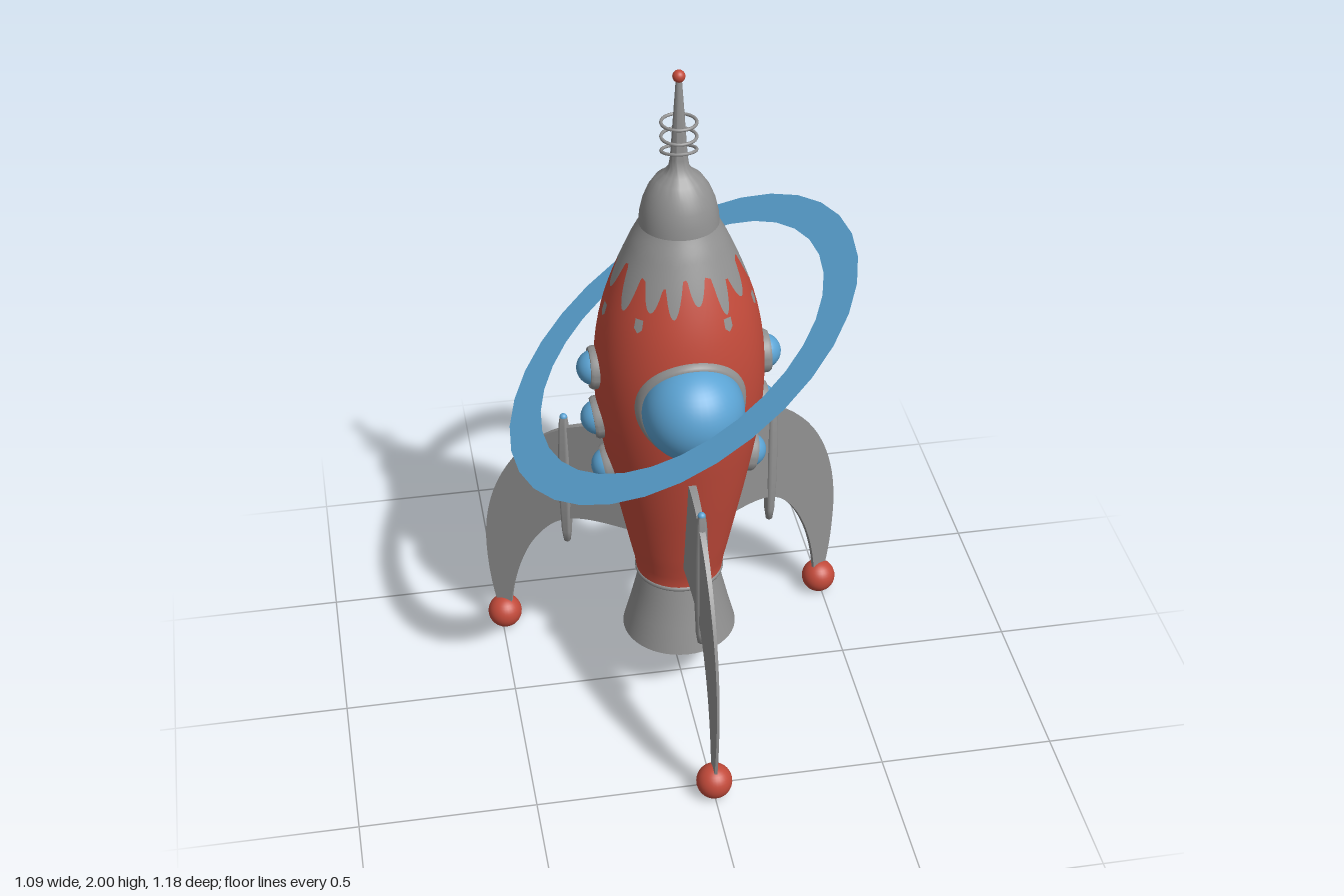
import * as THREE from 'three';
import { toCreasedNormals } from 'three/addons/utils/BufferGeometryUtils.js';

const red = new THREE.MeshStandardMaterial({ name: 'red paint', color: 0xc24a3a });
const grey = new THREE.MeshStandardMaterial({ name: 'grey metal', color: 0x919191 });
const blue = new THREE.MeshStandardMaterial({ name: 'blue glass', color: 0x5ba3d3 });
const blueBand = new THREE.MeshStandardMaterial({ name: 'blue ring', color: 0x5ba3d3, side: THREE.DoubleSide });

const AXIS_Z = -0.025;
const deg = THREE.MathUtils.degToRad;

// Hull radius sampled every 0.1 of height from y = 0.4
const HULL = [0.125, 0.145, 0.166, 0.187, 0.206, 0.223, 0.234, 0.237, 0.23, 0.211, 0.178, 0.136, 0.09];
function hullRadius(y) {
  const t = THREE.MathUtils.clamp((y - 0.4) / 0.1, 0, HULL.length - 1.001);
  const i = Math.floor(t), f = t - i;
  const p = k => HULL[THREE.MathUtils.clamp(k, 0, HULL.length - 1)];
  const a = p(i - 1), b = p(i), c = p(i + 1), d = p(i + 2);
  return b + 0.5 * f * (c - a + f * (2 * a - 5 * b + 4 * c - d + f * (3 * (b - c) + d - a)));
}
const hullSlope = y => (hullRadius(y + 0.005) - hullRadius(y - 0.005)) / 0.01;

// Patch of the hull between two angles and two height functions
function hullPatch(a0, a1, low, high, nu, nv, lift = 0) {
  const pos = [], nor = [], idx = [];
  for (let j = 0; j <= nv; j++) {
    for (let i = 0; i <= nu; i++) {
      const a = a0 + (a1 - a0) * i / nu;
      const y = THREE.MathUtils.lerp(low(a), high(a), j / nv);
      const r = hullRadius(y) + lift;
      pos.push(r * Math.sin(a), y, r * Math.cos(a));
      const n = new THREE.Vector3(Math.sin(a), -hullSlope(y), Math.cos(a)).normalize();
      nor.push(n.x, n.y, n.z);
      if (i < nu && j < nv) {
        const k = j * (nu + 1) + i, m = k + nu + 1;
        idx.push(k, k + 1, m + 1, k, m + 1, m);
      }
    }
  }
  const g = new THREE.BufferGeometry();
  g.setAttribute('position', new THREE.Float32BufferAttribute(pos, 3));
  g.setAttribute('normal', new THREE.Float32BufferAttribute(nor, 3));
  g.setIndex(idx);
  return g;
}

// Ragged lower edge of the bare nose: drips as [angle, half width, lowest y]
const DRIPS = [
  [-14, 8, 1.36], [7, 9, 1.39], [31, 8, 1.35], [53, 11, 1.37], [88, 15, 1.36], [114, 6, 1.4],
  [136, 11, 1.34], [160, 7, 1.39], [180, 10, 1.36], [205, 7, 1.39], [226, 11, 1.34],
  [250, 6, 1.4], [270, 13, 1.37], [300, 11, 1.35], [326, 9, 1.37],
];
function paintEdge(a) {
  let y = 1.45 + 0.015 * Math.sin(5 * a + 1);
  for (const [c, w, low] of DRIPS) {
    const d = Math.abs(THREE.MathUtils.euclideanModulo(a * 180 / Math.PI - c + 180, 360) - 180) / w;
    if (d < 1) y = Math.min(y, low + (y - low) * d * d);
  }
  return y;
}

function add(parent, name, geometry, material, x = 0, y = 0, z = 0) {
  const m = new THREE.Mesh(geometry, material);
  m.name = name;
  m.position.set(x, y, z);
  parent.add(m);
  return m;
}
function lathe(points, crease = 0.6, segments = 48) {
  return toCreasedNormals(new THREE.LatheGeometry(points.map(p => new THREE.Vector2(...p)), segments), crease);
}
const ball = (r, w = 28, h = 18) => new THREE.SphereGeometry(r, w, h);

// Curved fin blade, thick at the root and thin at the outer edge
function finGeometry() {
  const s = new THREE.Shape();
  s.moveTo(0.12, 0.48);
  s.lineTo(0.13, 0.82);
  s.lineTo(0.22, 0.828);
  s.bezierCurveTo(0.42, 0.82, 0.62, 0.6, 0.617, 0.31);
  s.bezierCurveTo(0.615, 0.22, 0.605, 0.14, 0.585, 0.07);
  s.lineTo(0.545, 0.07);
  s.bezierCurveTo(0.535, 0.22, 0.48, 0.36, 0.4, 0.435);
  s.bezierCurveTo(0.34, 0.49, 0.27, 0.49, 0.12, 0.48);
  const g = new THREE.ExtrudeGeometry(s, { depth: 1, bevelEnabled: false, curveSegments: 20 });
  const p = g.attributes.position;
  for (let i = 0; i < p.count; i++) {
    p.setZ(i, (p.getZ(i) - 0.5) * (0.026 - 0.036 * (p.getX(i) - 0.1)));
  }
  return toCreasedNormals(g, 0.5);
}

function makeFin() {
  const fin = new THREE.Group();
  fin.name = 'fin';
  add(fin, 'finBlade', finGeometry(), grey);
  add(fin, 'finFoot', ball(0.051), red, 0.568, 0.053);
  // Slim pod through the blade with a glass tip
  add(fin, 'finPod', lathe([[0, 0.375], [0.01, 0.385], [0.015, 0.42], [0.019, 0.52], [0.02, 0.61],
    [0.019, 0.7], [0.015, 0.8], [0.011, 0.829]], 1.2, 16), grey, 0.353);
  add(fin, 'finPodTip', new THREE.SphereGeometry(0.0112, 16, 8, 0, Math.PI * 2, 0, Math.PI / 2), blue, 0.353, 0.829);
  return fin;
}

// Round side window whose axis follows the hull normal
function makePorthole() {
  const g = new THREE.Group();
  g.name = 'porthole';
  add(g, 'portholeFrame', lathe([[0.061, -0.03], [0.061, 0.008], [0.056, 0.016], [0.048, 0.016], [0.046, 0]]), grey);
  add(g, 'portholeGlass', ball(0.05), blue);
  return g;
}

export function createModel() {
  const model = new THREE.Group();
  model.name = 'rocket';
  const ship = new THREE.Group();
  ship.name = 'ship';
  ship.position.z = AXIS_Z;
  model.add(ship);

  // Hull: painted below the ragged edge, bare metal above, plus loose flakes
  add(ship, 'hullPaint', hullPatch(0, Math.PI * 2, () => 0.395, paintEdge, 240, 24), red);
  add(ship, 'hullBareTop', hullPatch(0, Math.PI * 2, paintEdge, () => 1.56, 240, 8), grey);
  for (const [a, y] of [[-42, 1.33], [30, 1.325], [72, 1.33], [110, 1.33], [160, 1.33], [212, 1.33], [275, 1.31]]) {
    const c = deg(a), w = deg(3.5);
    add(ship, 'paintFlake', hullPatch(c - w, c + w, t => y - 0.02 + 0.012 * Math.abs(t - c) / w,
      () => y + 0.018, 6, 3, 0.0015), grey);
  }

  // Nose dome flowing into the antenna
  add(ship, 'noseCone', lathe([[0.1, 1.555], [0.109, 1.555], [0.106, 1.585], [0.098, 1.62], [0.084, 1.655],
    [0.064, 1.685], [0.042, 1.702], [0.028, 1.72], [0.024, 1.745], [0.022, 1.77], [0.008, 1.975]], 0.9), grey);
  add(ship, 'antennaTip', ball(0.017), red, 0, 1.983);
  [1.768, 1.808, 1.85].forEach((y, i) => {
    const ring = add(ship, 'antennaRing', new THREE.TorusGeometry(0.047, 0.0045, 8, 32), grey, 0, y);
    ring.rotation.x = Math.PI / 2 - (i === 0 ? 0.22 : 0);
  });

  // Engine collar and hollow nozzle
  const collar = add(ship, 'engineCollar', new THREE.TorusGeometry(0.119, 0.01, 10, 48), grey, 0, 0.392);
  collar.rotation.x = Math.PI / 2;
  add(ship, 'nozzle', lathe([[0, 0.37], [0.1, 0.37], [0.15, 0.18], [0.166, 0.18], [0.145, 0.26],
    [0.128, 0.33], [0.118, 0.385]]), grey);

  // Fins: one at the front, two swept to the back
  for (const a of [0, 120, 240]) {
    const fin = makeFin();
    fin.rotation.y = deg(a - 90);
    ship.add(fin);
  }

  // Three portholes on each side
  for (const side of [-1, 1]) {
    for (const y of [1.11, 0.943, 0.776]) {
      const p = makePorthole();
      p.position.set(side * hullRadius(y), y, 0);
      p.rotation.z = -side * (Math.PI / 2 + Math.atan(hullSlope(y)));
      ship.add(p);
    }
  }

  // Large front window with a frame bent around the hull
  const wy = 1.088;
  const frame = new THREE.TorusGeometry(0.139, 0.015, 12, 56);
  const fp = frame.attributes.position;
  for (let i = 0; i < fp.count; i++) {
    const x = fp.getX(i);
    const r = hullRadius(wy + fp.getY(i));
    fp.setZ(i, fp.getZ(i) + Math.sqrt(Math.max(0, r * r - x * x)));
  }
  frame.computeVertexNormals();
  add(ship, 'frontWindowFrame', frame, grey, 0, wy);
  add(ship, 'frontWindowGlass', ball(0.14, 40, 28), blue, 0, wy, 0.22);

  // Tilted flat ring around the hull
  const orbit = new THREE.Group();
  orbit.name = 'orbitRing';
  orbit.position.y = 1.16;
  orbit.rotation.z = deg(32.5);
  add(orbit, 'orbitBand', new THREE.RingGeometry(0.459, 0.565, 32), blueBand).rotation.x = -Math.PI / 2;
  ship.add(orbit);

  return model;
}
